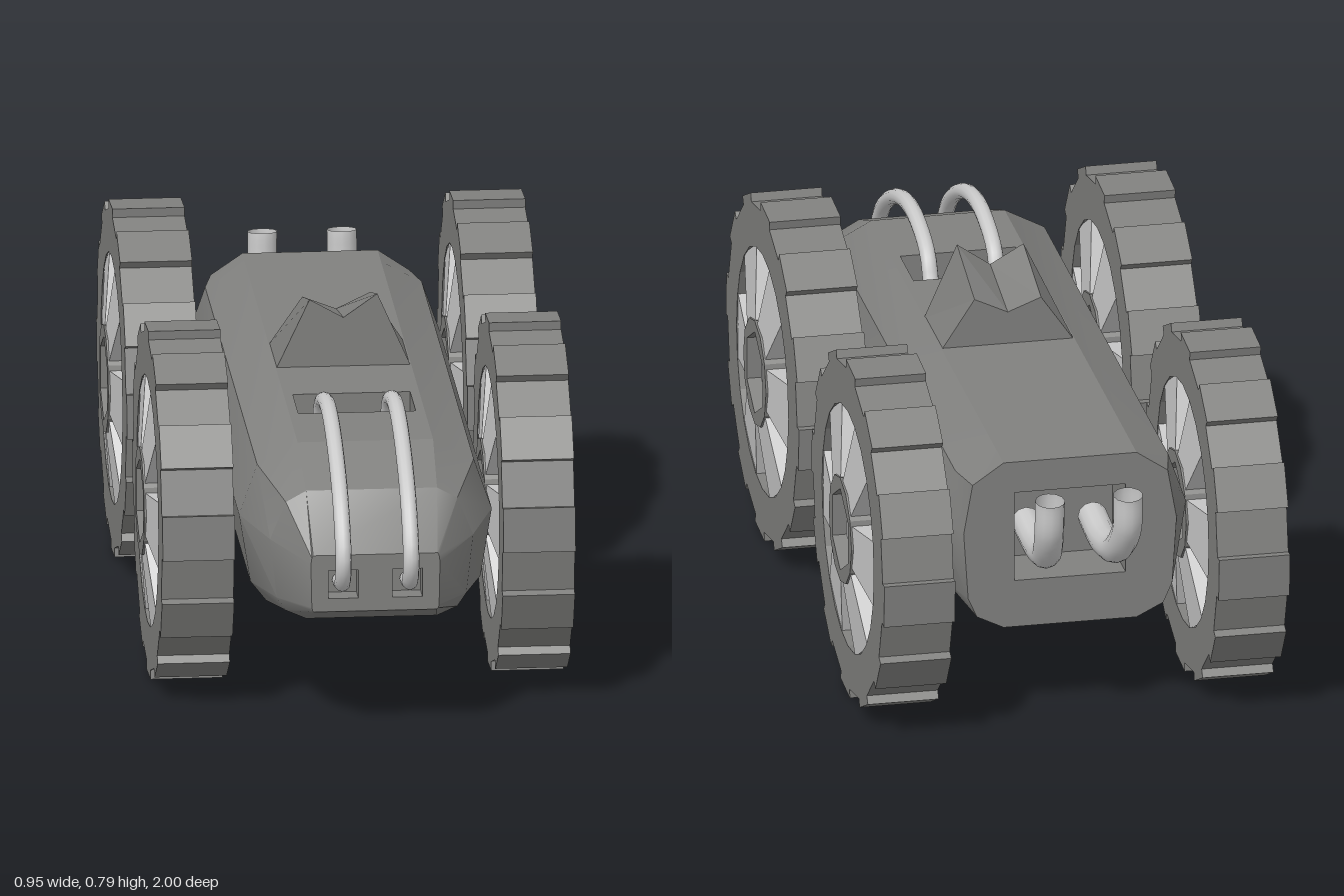
import * as THREE from 'three';
import { toCreasedNormals } from 'three/addons/utils/BufferGeometryUtils.js';

const grey = new THREE.MeshStandardMaterial({ color: 0x80807e, side: THREE.DoubleSide });
grey.name = 'body grey';
const silver = new THREE.MeshStandardMaterial({ color: 0xcacaca, side: THREE.DoubleSide });
silver.name = 'light metal';

const V = (x, y, z) => new THREE.Vector3(x, y, z);

function add(parent, name, geometry, material) {
  const mesh = new THREE.Mesh(geometry, material);
  mesh.name = name;
  parent.add(mesh);
  return mesh;
}

// Full ring from a half section listed bottom to top, counter-clockwise from the front
const ring = half => [...half, ...half.slice().reverse().map(([x, y]) => [-x, y])];

// Inward-facing box without its lid, opening on the local z = 0 plane
function recessGeometry([u0, v0, u1, v1], depth) {
  const g = new THREE.BoxGeometry(u1 - u0, v1 - v0, depth);
  g.translate((u0 + u1) / 2, (v0 + v1) / 2, -depth / 2);
  const idx = Array.from(g.index.array);
  idx.splice(24, 6);
  g.setIndex(idx.reverse());
  g.clearGroups();
  g.computeVertexNormals();
  return g;
}

// Flat panel with rectangular recesses, placed by its origin and two axes
function addPanel(parent, name, origin, xAxis, yAxis, outline, holes, depth) {
  const shape = new THREE.Shape(outline.map(p => new THREE.Vector2(...p)));
  for (const [u0, v0, u1, v1] of holes) {
    shape.holes.push(new THREE.Path([
      new THREE.Vector2(u0, v0), new THREE.Vector2(u0, v1),
      new THREE.Vector2(u1, v1), new THREE.Vector2(u1, v0)]));
  }
  const m = new THREE.Matrix4().makeBasis(xAxis, yAxis, xAxis.clone().cross(yAxis)).setPosition(origin);
  add(parent, name, new THREE.ShapeGeometry(shape).applyMatrix4(m), grey);
  for (const h of holes) add(parent, name + 'Recess', recessGeometry(h, depth).applyMatrix4(m), grey);
}

function createBody() {
  const body = new THREE.Group();
  body.name = 'body';
  const full = [[.15, .22], [.22, .25], [.255, .295], [.28, .45], [.24, .565], [.15, .613]];
  const rear = [[.15, .22], [.21, .25], [.23, .295], [.24, .45], [.22, .565], [.15, .613]];
  const mid = [[.145, .255], [.19, .275], [.21, .305], [.225, .44], [.19, .525], [.145, .55]];
  const nose = [[.136, .30], [.139, .303], [.141, .31], [.143, .41], [.141, .424], [.138, .43]];
  const z = [-.76, -.67, .67, .83, .93];
  const rings = [rear, full, full, mid, nose].map(ring);
  const n = 12, pos = [], idx = [];
  rings.forEach((r, s) => r.forEach(([x, y]) => pos.push(x, y, z[s])));
  for (let s = 0; s < 4; s++) for (let i = 0; i < n; i++) {
    // The long top and side strips are separate panels with openings
    if (s === 1 && (i === 2 || i === 5 || i === 8)) continue;
    const a = s * n + i, b = s * n + (i + 1) % n;
    idx.push(a, b, b + n, a, b + n, a + n);
  }
  const hull = new THREE.BufferGeometry();
  hull.setAttribute('position', new THREE.Float32BufferAttribute(pos, 3));
  hull.setIndex(idx);
  add(body, 'hull', toCreasedNormals(hull, 0.45), grey);

  // Nose and tail plates
  addPanel(body, 'nosePlate', V(0, 0, .93), V(1, 0, 0), V(0, 1, 0), rings[4],
    [[-.104, .33, -.038, .395], [.038, .33, .104, .395]], .05);
  addPanel(body, 'tailPlate', V(0, 0, -.76), V(-1, 0, 0), V(0, 1, 0), rings[0],
    [[-.125, .33, .125, .54]], .14);

  // Long strips: local x runs along the body, local y across the strip
  const strip = (name, p, q, hole, depth) => {
    const d = V(q[0] - p[0], q[1] - p[1], 0), w = d.length();
    addPanel(body, name, V(p[0], p[1], 0), V(0, 0, 1), d.normalize(),
      [[-.67, 0], [.67, 0], [.67, w], [-.67, w]], [hole], depth);
  };
  strip('deck', [-.15, .613], [.15, .613], [.31, .02, .455, .28], .07);
  strip('leftSide', [.28, .45], [.255, .295], [-.21, .008, -.09, .142], .04);
  strip('rightSide', [-.255, .295], [-.28, .45], [-.21, .015, -.09, .149], .04);
  return body;
}

// Notched crest that gets lower toward the back
function createCrest() {
  const base = .608;
  const shape = new THREE.Shape([[-.15, base], [.15, base], [.075, .778], [0, .725], [-.075, .768]]
    .map(p => new THREE.Vector2(...p)));
  const g = new THREE.ExtrudeGeometry(shape, { depth: .19, bevelEnabled: false });
  g.translate(0, 0, -.085);
  const p = g.attributes.position;
  for (let i = 0; i < p.count; i++) {
    if (p.getZ(i) < 0) p.setY(i, base + (p.getY(i) - base) * .68);
  }
  g.computeVertexNormals();
  return g;
}

function createWheel() {
  const wheel = new THREE.Group();
  // Lugged tyre: twelve raised blocks with grooves between
  const pts = [];
  const polar = (r, deg) => new THREE.Vector2(r * Math.cos(deg * Math.PI / 180), r * Math.sin(deg * Math.PI / 180));
  for (let i = 0; i < 12; i++) {
    const a = i * 30 - 3;
    pts.push(polar(.377, a), polar(.397, a), polar(.397, a + 14.5), polar(.377, a + 14.5));
  }
  const circle = (r, sides, turn = 0) =>
    new THREE.Path(Array.from({ length: sides }, (_, i) => polar(r, turn + i * 360 / sides)));
  const extrude = (shape, depth) =>
    new THREE.ExtrudeGeometry(shape, { depth, bevelEnabled: false }).translate(0, 0, -depth / 2);
  const tyre = new THREE.Shape(pts);
  tyre.holes.push(circle(.28, 24));
  add(wheel, 'tyre', extrude(tyre, .16), grey);

  // Hub ring with a hexagonal socket
  const hub = new THREE.Shape(circle(.123, 12).getPoints());
  hub.holes.push(circle(.097, 6, 30));
  add(wheel, 'hub', extrude(hub, .195), grey);
  add(wheel, 'hubCap', extrude(new THREE.Shape(circle(.098, 6, 30).getPoints()), .13), silver);

  // Flared spokes, wider at the rim and thicker at the hub
  for (let i = 0; i < 6; i++) {
    const g = new THREE.BoxGeometry(1, 1, 1);
    const p = g.attributes.position;
    for (let k = 0; k < p.count; k++) {
      const outer = p.getX(k) > 0;
      p.setXYZ(k, outer ? .276 : .108,
        Math.sign(p.getY(k)) * (outer ? .078 : .05),
        Math.sign(p.getZ(k)) * (outer ? .078 : .094));
    }
    g.computeVertexNormals();
    g.rotateZ(i * Math.PI / 3);
    add(wheel, 'spoke', g, silver);
  }
  wheel.rotation.y = -Math.PI / 2;
  return wheel;
}

function addPipe(parent, name, points, radius) {
  const curve = new THREE.CatmullRomCurve3(points.map(p => V(...p)));
  add(parent, name, new THREE.TubeGeometry(curve, 32, radius, 12), silver);
}

export function createModel() {
  const model = new THREE.Group();
  model.name = 'buggy';
  model.add(createBody());
  add(model, 'crest', createCrest(), grey);

  for (const s of [1, -1]) {
    const side = s > 0 ? 'Left' : 'Right';
    for (const [name, z] of [['front', .375], ['rear', -.55]]) {
      const wheel = createWheel();
      wheel.name = name + side + 'Wheel';
      wheel.position.set(s * .3775, .397, z);
      model.add(wheel);
    }
    // Hood pipe from the deck opening to the nose socket
    addPipe(model, 'hoodPipe' + side, [
      [s * .075, .57, .385], [s * .075, .625, .42], [s * .075, .66, .52], [s * .075, .662, .64],
      [s * .075, .615, .79], [s * .075, .53, .92], [s * .075, .43, .98], [s * .075, .375, .955],
      [s * .075, .36, .89]], .018);
    // Upturned exhaust at the tail
    addPipe(model, 'exhaust' + side, [
      [s * .075, .42, -.64], [s * .075, .415, -.78], [s * .08, .445, -.89],
      [s * .088, .52, -.955], [s * .088, .6, -.965]], .033);
  }
  return model;
}
